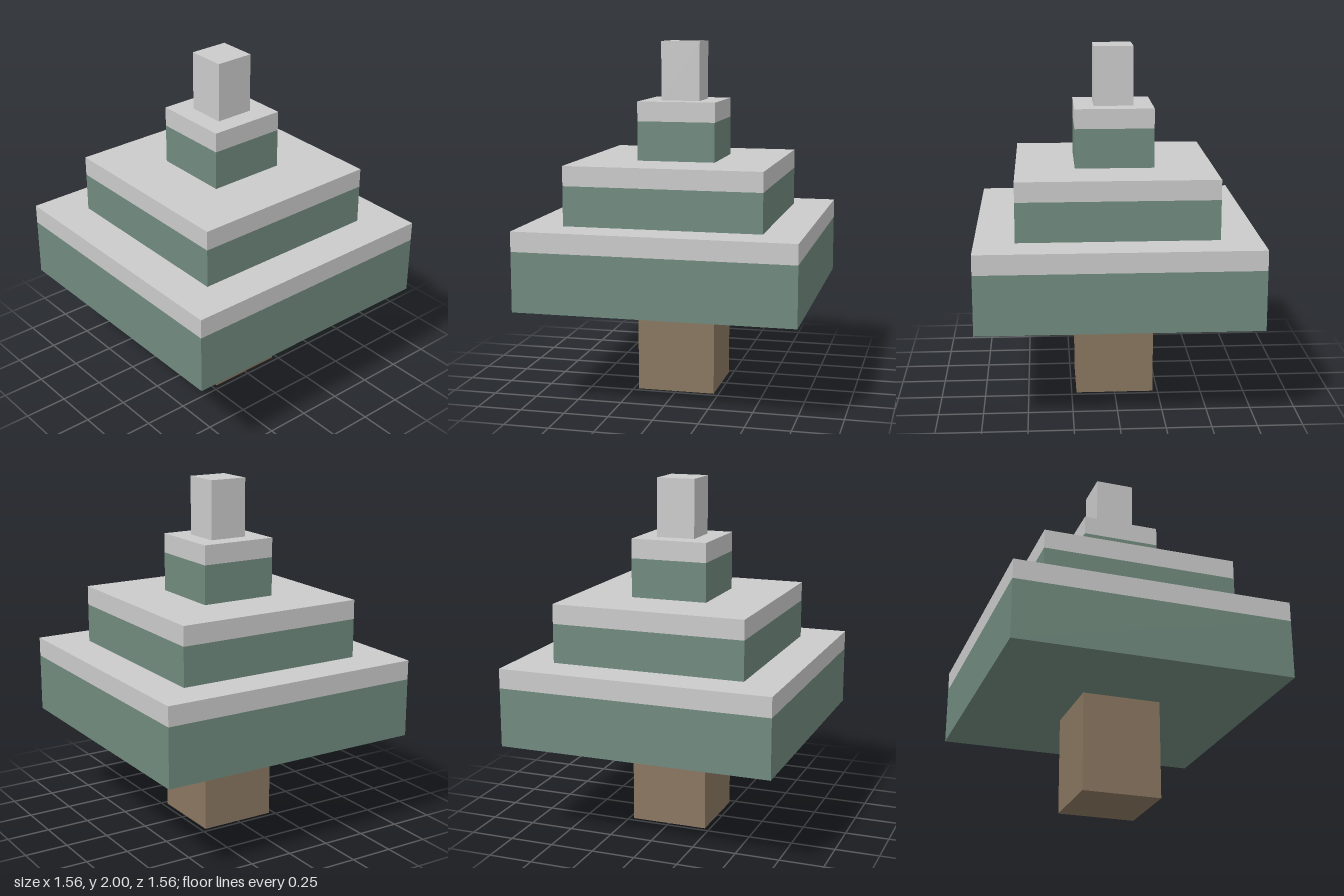
import * as THREE from 'three';

const U = 1 / 9; // one block unit

export function createModel() {
  const tree = new THREE.Group();
  tree.name = 'snowyTree';

  const bark = new THREE.MeshStandardMaterial({ color: 0x8a7761 });
  const needles = new THREE.MeshStandardMaterial({ color: 0x718b7f });
  const snow = new THREE.MeshStandardMaterial({ color: 0xcccccc });

  // Square block stacked on top of the previous one; sizes in block units
  let y = 0;
  const stack = (name, width, height, material, parent = tree) => {
    const block = new THREE.Mesh(new THREE.BoxGeometry(width * U, height * U, width * U), material);
    block.name = name;
    block.position.y = (y + height / 2) * U;
    y += height;
    parent.add(block);
  };

  stack('trunk', 4, 5, bark);

  // Three tiers of foliage, each with a layer of snow
  const tiers = [
    ['lowerTier', 14, 3],
    ['middleTier', 10, 2],
    ['upperTier', 4, 2],
  ];
  for (const [name, width, height] of tiers) {
    const tier = new THREE.Group();
    tier.name = name;
    stack('foliage', width, height, needles, tier);
    stack('snowLayer', width, 1, snow, tier);
    tree.add(tier);
  }

  stack('snowyTip', 2, 3, snow);

  return tree;
}
